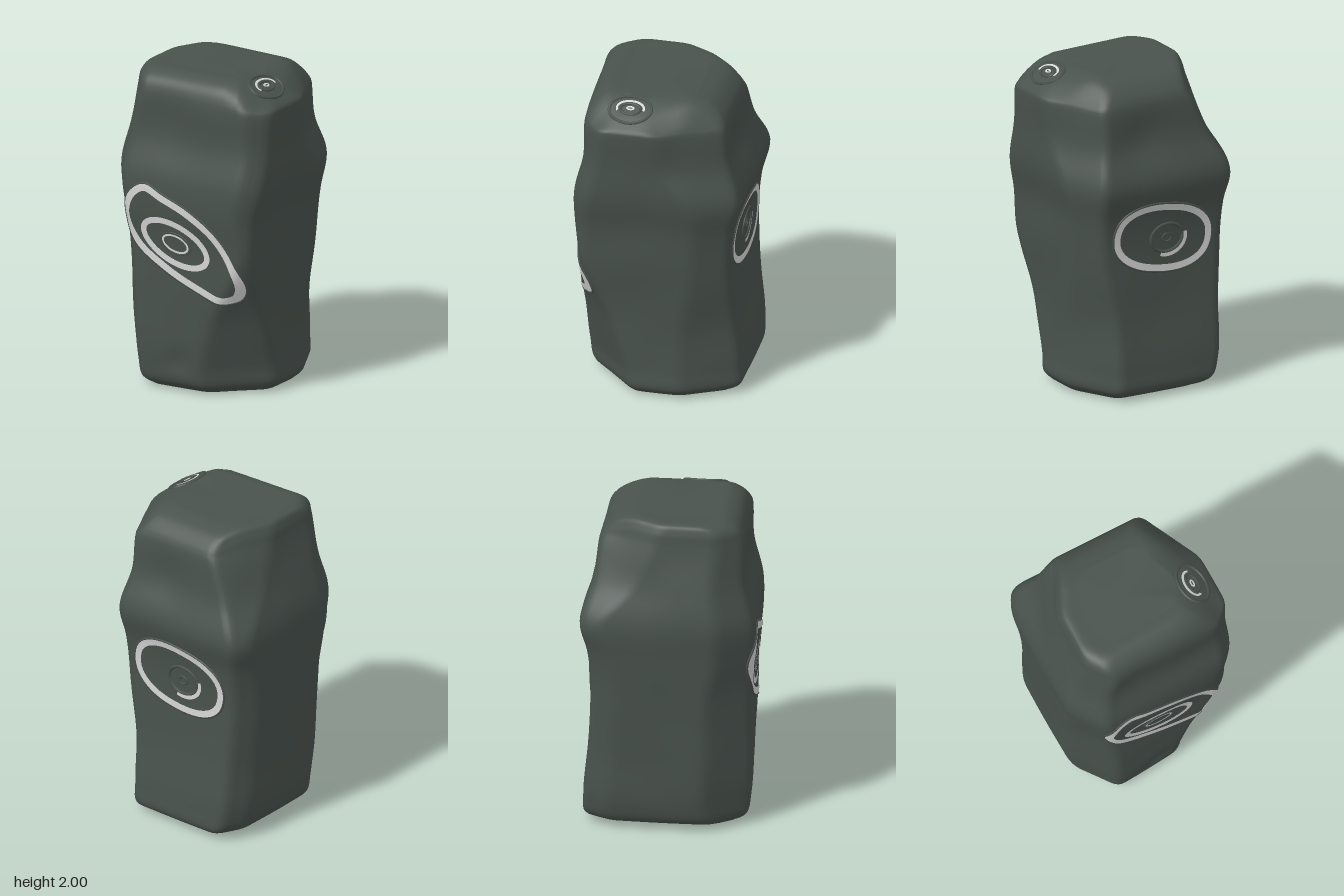
import * as THREE from 'three';

const V = (x, y, z) => new THREE.Vector3(x, y, z);
const stone = new THREE.MeshStandardMaterial({ color: 0x49524d });
stone.name = 'dark stone';
const chalk = new THREE.MeshStandardMaterial({ color: 0xd6d6d6, side: THREE.DoubleSide });
chalk.name = 'pale ring';

// Block levels: height, left, right, back, front, then cuts at back left, back right, front left, front right
const LEVELS = [
  [0.01, -0.34, 0.40, -0.45, 0.41, 0.08, 0.14, 0.10, 0.26],
  [0.06, -0.45, 0.45, -0.52, 0.47, 0.08, 0.17, 0.17, 0.31],
  [0.18, -0.49, 0.45, -0.52, 0.49, 0.08, 0.17, 0.20, 0.31],
  [0.50, -0.505, 0.445, -0.49, 0.505, 0.08, 0.15, 0.20, 0.22],
  [0.90, -0.525, 0.475, -0.47, 0.50, 0.08, 0.11, 0.19, 0.06],
  [1.15, -0.535, 0.49, -0.49, 0.525, 0.07, 0.11, 0.17, 0.08],
  [1.36, -0.545, 0.53, -0.53, 0.52, 0.06, 0.14, 0.16, 0.10],
  [1.60, -0.495, 0.54, -0.465, 0.465, 0.12, 0.19, 0.14, 0.10],
  [1.87, -0.43, 0.54, -0.43, 0.455, 0.17, 0.20, 0.12, 0.12],
  [1.95, -0.415, 0.52, -0.40, 0.42, 0.17, 0.20, 0.10, 0.12],
  [1.995, -0.39, 0.45, -0.34, 0.35, 0.15, 0.18, 0.09, 0.10],
  [2.0, -0.27, 0.30, -0.22, 0.24, 0.10, 0.12, 0.06, 0.07],
];

// Worn hollows: x, y, z, radius, depth
const DENTS = [
  [-0.02, 0.2, 0.5, 0.07, 0.02], [0.1, 1.62, -0.46, 0.16, 0.025],
  [-0.15, 1.75, 0.46, 0.15, 0.012], [-0.45, 1.62, -0.2, 0.16, 0.02],
  [0.54, 1.6, -0.1, 0.16, 0.02],
];

function corners([y, l, r, b, f, cBL, cBR, cFL, cFR]) {
  return [
    V(l + cFL, y, f), V(r - cFR, y, f - 0.04), V(r, y, f - 0.04 - cFR), V(r, y, b + 2 * cBR),
    V(r - cBR, y, b), V(l + cBL, y, b), V(l, y, b + 2 * cBL), V(l, y, f - cFL * 1.35),
  ];
}

// Rounds the corners of one cross-section and subdivides its edges
function roundedSection(pts) {
  const out = [], n = pts.length;
  const toward = (p, q) => p.clone().lerp(q, Math.min(0.4, 0.05 / Math.max(p.distanceTo(q), 1e-4)));
  for (let i = 0; i < n; i++) {
    const p = pts[i], next = pts[(i + 1) % n];
    const a = toward(p, pts[(i + n - 1) % n]), b = toward(p, next), c = toward(next, p);
    for (let k = 0; k < 5; k++) {
      const t = k / 4;
      out.push(a.clone().lerp(p, t).lerp(p.clone().lerp(b, t), t));
    }
    for (let k = 1; k < 7; k++) out.push(b.clone().lerp(c, k / 7));
  }
  return out;
}

// Slopes the top right and back edges, presses in the hollows and adds a slight unevenness
function weather(p) {
  const { smoothstep } = THREE.MathUtils;
  const high = smoothstep(p.y, 1.8, 1.98);
  const q = p.clone();
  q.y -= high * (0.09 * smoothstep(p.x, 0.24, 0.52) + 0.05 * smoothstep(-p.z, 0.18, 0.42));
  const inward = V(-p.x, 0, -p.z).normalize();
  for (const [x, y, z, r, d] of DENTS) {
    q.addScaledVector(inward, d * Math.exp(-p.distanceToSquared(V(x, y, z)) / (r * r)));
  }
  const side = 1 - smoothstep(p.y, 1.75, 1.95);
  return q.addScaledVector(inward, 0.004 * side * Math.sin(9 * p.y + 5 * p.x) * Math.sin(7 * p.z - 4 * p.x + 3 * p.y));
}

function blockGeometry() {
  const byLevel = LEVELS.map(corners);
  const ridges = byLevel[0].map((_, i) => new THREE.CatmullRomCurve3(byLevel.map((c) => c[i])));
  const rows = (LEVELS.length - 1) * 7, pos = [], index = [];
  let n = 0;
  for (let j = 0; j <= rows; j++) {
    const ring = roundedSection(ridges.map((c) => c.getPoint(j / rows)));
    n = ring.length;
    for (const p of ring) pos.push(...weather(p).toArray());
  }
  const bottom = pos.length / 3, top = bottom + 1;
  pos.push(0, 0, 0, 0.01, 2, 0.02);
  for (let i = 0; i < n; i++) {
    const k = (i + 1) % n;
    for (let j = 0; j < rows; j++) {
      const a = j * n + i, b = j * n + k;
      index.push(a, b, b + n, a, b + n, a + n);
    }
    index.push(k, i, bottom, rows * n + i, rows * n + k, top);
  }
  const g = new THREE.BufferGeometry();
  g.setAttribute('position', new THREE.Float32BufferAttribute(pos, 3));
  g.setIndex(index);
  g.computeVertexNormals();
  return g;
}

// Outlines in the plane of a face
function ellipse(cx, cy, a, b, tilt = 0, power = 1) {
  const pts = [];
  for (let i = 0; i < 24; i++) {
    const t = (i / 24) * Math.PI * 2, c = Math.cos(t), s = Math.sin(t);
    const x = a * Math.sign(c) * Math.abs(c) ** power, y = b * Math.sign(s) * Math.abs(s) ** power;
    pts.push([cx + x * Math.cos(tilt) - y * Math.sin(tilt), cy + x * Math.sin(tilt) + y * Math.cos(tilt)]);
  }
  return pts;
}

export function createModel() {
  const group = new THREE.Group();
  const add = (name, geometry, material) => {
    const m = new THREE.Mesh(geometry, material);
    m.name = name;
    group.add(m);
    return m;
  };
  const block = add('stoneBlock', blockGeometry(), stone);
  block.updateMatrixWorld(true);

  // Drops a face point onto the block along the face's direction
  const ray = new THREE.Raycaster();
  const faces = {
    front: [(u, v) => V(u, v, 2), V(0, 0, -1)],
    back: [(u, v) => V(u, v, -2), V(0, 0, 1)],
    top: [(u, v) => V(u, 3, v), V(0, -1, 0)],
  };
  let last = V(0, 1, 0);
  const drape = (face, u, v, lift) => {
    const [from, dir] = faces[face];
    ray.set(from(u, v), dir);
    const hit = ray.intersectObject(block, false)[0];
    if (hit) last = hit.point.clone().addScaledVector(dir, -lift);
    return last.clone();
  };

  // A thin flat ring, or part of one, between an outline and its inward offset
  const band = (name, face, outline, width, start = 0, end = 1) => {
    const curve = new THREE.CatmullRomCurve3(outline.map(([u, v]) => V(u, v, 0)), true);
    const pos = [], index = [], N = 96, R = 3;
    for (let i = 0; i <= N; i++) {
      const s = (start + (end - start) * (i / N)) % 1;
      const p = curve.getPointAt(s), t = curve.getTangentAt(s);
      for (let k = 0; k <= R; k++) {
        const d = (width * k) / R;
        pos.push(...drape(face, p.x - t.y * d, p.y + t.x * d, 0.006).toArray());
        if (i < N && k < R) {
          const a = i * (R + 1) + k, b = a + R + 1;
          index.push(a, b, b + 1, a, b + 1, a + 1);
        }
      }
    }
    const g = new THREE.BufferGeometry();
    g.setAttribute('position', new THREE.Float32BufferAttribute(pos, 3));
    g.setIndex(index);
    g.computeVertexNormals();
    add(name, g, chalk);
  };

  // A low stone lip along an outline
  const lip = (name, face, outline, radius) => {
    const flat = new THREE.CatmullRomCurve3(outline.map(([u, v]) => V(u, v, 0)), true);
    const path = flat.getSpacedPoints(48).slice(0, 48).map((p) => drape(face, p.x, p.y, 0));
    add(name, new THREE.TubeGeometry(new THREE.CatmullRomCurve3(path, true), 96, radius, 6, true), stone);
  };

  // Front carving, outline running anticlockwise
  const frontOutline = [[-0.3, 0.915], [-0.1, 0.775], [0.14, 0.67], [0.3, 0.62], [0.39, 0.65], [0.425, 0.75],
    [0.38, 0.9], [0.26, 1.065], [0.08, 1.19], [-0.1, 1.265], [-0.23, 1.315], [-0.335, 1.25], [-0.385, 1.1]];
  band('frontOuterRing', 'front', frontOutline, 0.047);
  lip('frontOuterLip', 'front', frontOutline, 0.008);
  band('frontMiddleRing', 'front', ellipse(-0.02, 0.96, 0.25, 0.138, -0.36), 0.038);
  band('frontInnerRing', 'front', ellipse(-0.02, 0.96, 0.095, 0.056, -0.25), 0.013);
  lip('frontInnerLip', 'front', ellipse(-0.02, 0.96, 0.103, 0.064, -0.25), 0.005);

  // Back carving
  const backOutline = ellipse(-0.04, 1.0, 0.345, 0.22, 0.15, 0.88);
  band('backOuterRing', 'back', backOutline, 0.046);
  lip('backOuterLip', 'back', backOutline, 0.008);
  band('backInnerRing', 'back', ellipse(-0.075, 0.985, 0.135, 0.115), 0.026, 0.46, 0.82);
  lip('backInnerLip', 'back', ellipse(-0.07, 0.99, 0.11, 0.09), 0.01);
  lip('backCentreLip', 'back', ellipse(-0.07, 0.99, 0.03, 0.025), 0.006);

  // Small carving on the sloping top edge
  lip('topOuterLip', 'top', ellipse(0.4, 0.135, 0.085, 0.13), 0.01);
  band('topRing', 'top', ellipse(0.4, 0.135, 0.055, 0.09), 0.014, 0.2, 0.78);
  lip('topInnerLip', 'top', ellipse(0.4, 0.135, 0.035, 0.062), 0.008);
  band('topCentreRing', 'top', ellipse(0.4, 0.135, 0.014, 0.026), 0.01);
  return group;
}
